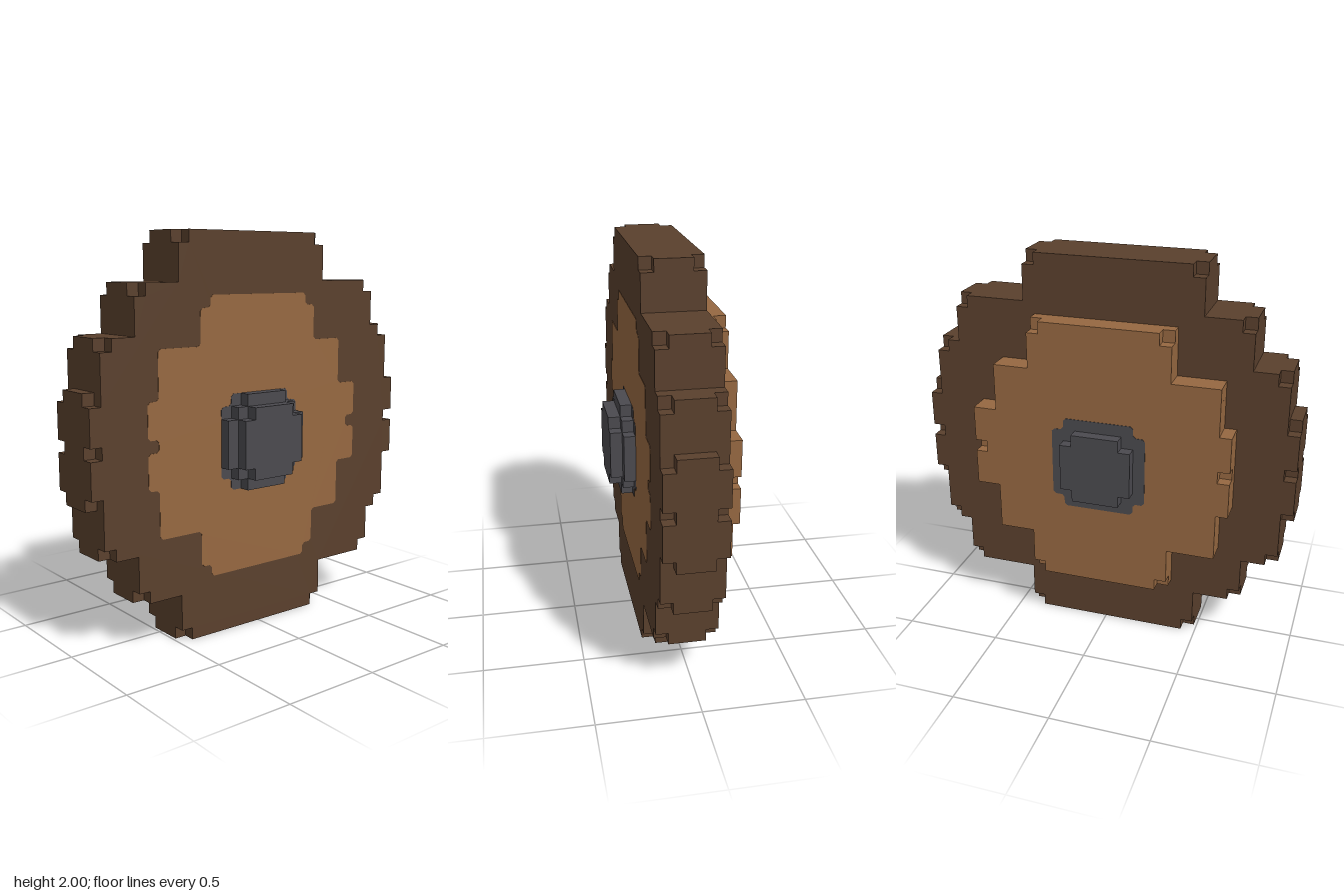
import * as THREE from 'three';

const U = 2 / 33; // size of one block

const material = (name, color) => {
  const m = new THREE.MeshStandardMaterial({ color });
  m.name = name;
  return m;
};

// Outline of stacked rows [bottom, top, left, right], in blocks; cut trims every corner
function outline(rows, cut = 0) {
  const right = [], left = [];
  for (const [y0, y1, x0, x1] of rows) {
    right.push([x1, y0], [x1, y1]);
    left.unshift([x0, y1], [x0, y0]);
  }
  let pts = [...right, ...left].map(([x, y]) => new THREE.Vector2(x * U, y * U));
  pts = pts.filter((p, i) => !p.equals(pts[(i + 1) % pts.length]));
  if (cut > 0) {
    const n = pts.length;
    const toward = (a, b) => a.clone().add(b.clone().sub(a).setLength(cut));
    pts = pts.flatMap((p, i) => [toward(p, pts[(i + n - 1) % n]), toward(p, pts[(i + 1) % n])]);
  }
  return new THREE.Shape(pts);
}

// Slab of the given rows between two depths, in blocks
function slab(name, rows, z0, z1, mat, cut = 0) {
  const geo = new THREE.ExtrudeGeometry(outline(rows, cut), { depth: (z1 - z0) * U, bevelEnabled: false });
  geo.translate(0, 0, z0 * U);
  const mesh = new THREE.Mesh(geo, mat);
  mesh.name = name;
  return mesh;
}

export function createModel() {
  const darkWood = material('darkWood', 0x5a402d);
  const lightWood = material('lightWood', 0x966841);
  const iron = material('iron', 0x4b4a4f);
  const wheel = new THREE.Group();
  wheel.name = 'wheel';

  // Rim: full core, with the corner blocks missing on both outer layers
  const rimRows = [
    [0, 4, -8, 7], [4, 8, -12, 13], [8, 12, -15, 15], [12, 21, -16, 16],
    [21, 25, -15, 15], [25, 29, -12, 13], [29, 33, -8, 7],
  ];
  const rimNotched = [
    [0, 1, -7, 6], [1, 4, -8, 7], [4, 5, -11, 12], [5, 8, -12, 13],
    [8, 9, -14, 14], [9, 12, -15, 15], [12, 13, -15, 15], [13, 16, -16, 16],
    [16, 17, -15, 15], [17, 20, -16, 16], [20, 21, -15, 15], [21, 24, -15, 15],
    [24, 25, -14, 14], [25, 28, -12, 13], [28, 29, -11, 12], [29, 32, -8, 7], [32, 33, -7, 6],
  ];
  wheel.add(
    slab('rimCore', rimRows, -1, 2, darkWood),
    slab('rimFront', rimNotched, 2, 3, darkWood),
    slab('rimBack', rimNotched, -2, -1, darkWood),
  );

  // Light disc: raised on the back, inlaid on the front
  const discRows = [[5, 9, -6, 6], [9, 13, -10, 9], [13, 20, -11, 11], [20, 24, -10, 9], [24, 28, -6, 6]];
  const discNotched = [
    [5, 6, -5, 5], [6, 9, -6, 6], [9, 13, -10, 9], [13, 16, -11, 11], [16, 17, -10, 10],
    [17, 20, -11, 11], [20, 24, -10, 9], [24, 27, -6, 6], [27, 28, -5, 5],
  ];
  wheel.add(
    slab('discInner', discRows, -3, -2, lightWood),
    slab('discOuter', discNotched, -4, -3, lightWood),
    slab('frontInlay', discNotched, 2.97, 3.03, lightWood, 0.014),
  );

  // Axle hub: iron plates around stepped caps
  const plateRows = [[12, 13, -3, 3], [13, 19, -4, 4], [19, 20, -3, 3]];
  const stepRows = [[12, 13, -2, 2], [13, 14, -3, 3], [14, 18, -4, 4], [18, 19, -3, 3], [19, 20, -2, 2]];
  const capRows = [[13, 14, -2, 2], [14, 18, -3, 3], [18, 19, -2, 2]];
  wheel.add(
    slab('hubPlateFront', plateRows, 3, 3.06, iron, 0.014),
    slab('hubStepFront', stepRows, 3, 4, iron),
    slab('hubCapFront', capRows, 4, 5, iron),
    slab('hubPlateBack', plateRows, -4.04, -3.96, iron, 0.014),
    slab('hubCapBack', capRows, -5, -4, iron),
  );
  return wheel;
}
